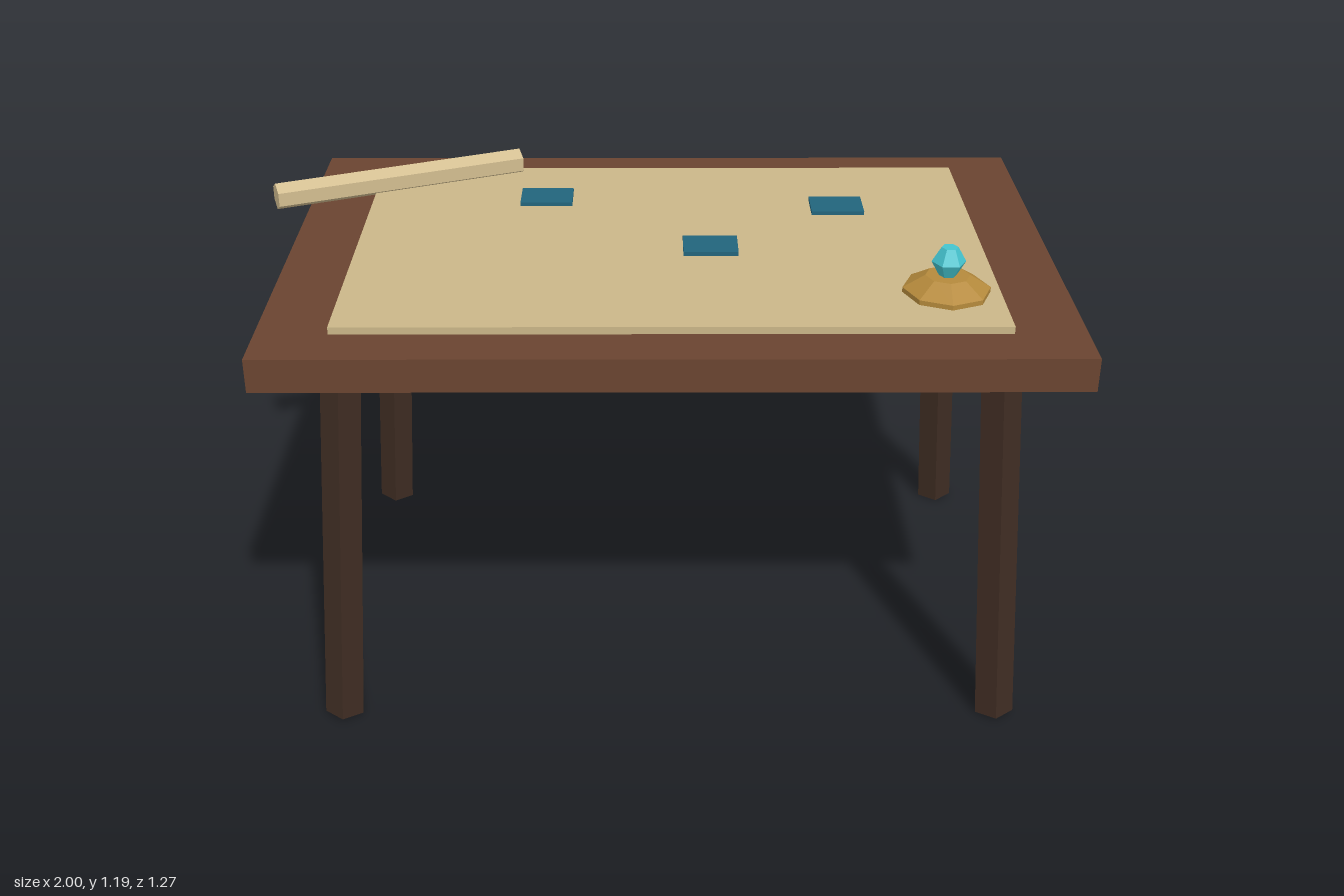
import * as THREE from 'three';

const mat = (name, color) => {
  const m = new THREE.MeshStandardMaterial({ color });
  m.name = name;
  m.flatShading = true;
  return m;
};

export function createModel() {
  const root = new THREE.Group();
  root.name = 'mapTable';
  const wood = mat('brown wood', 0x6a4430);
  const darkWood = mat('dark wood', 0x3e2c22);
  const parchment = mat('parchment', 0xcab688);
  const scrollPaper = mat('scroll paper', 0xd2bd90);
  const blue = mat('deep blue', 0x22647c);
  const brass = mat('brass', 0xb58a3c);
  const crystal = mat('turquoise crystal', 0x45c4cf);

  const add = (name, geometry, material, x, y, z) => {
    const mesh = new THREE.Mesh(geometry, material);
    mesh.name = name;
    mesh.position.set(x, y, z);
    root.add(mesh);
    return mesh;
  };
  const lathe = (points, sides) =>
    new THREE.LatheGeometry(points.map(([r, y]) => new THREE.Vector2(r, y)), sides);

  // Table top and the map lying on it
  const cx = 0.045;
  add('tableTop', new THREE.BoxGeometry(1.91, 0.083, 1.27), wood, cx, 1.0135, 0);
  add('map', new THREE.BoxGeometry(1.57, 0.02, 1.015), parchment, cx, 1.063, 0);

  // Four splayed five-sided legs
  const legGeometry = new THREE.CylinderGeometry(0.05, 0.05, 0.975, 5);
  for (const sx of [-1, 1]) {
    for (const sz of [-1, 1]) {
      const leg = add('leg', legGeometry, darkWood, cx + sx * 0.796, 0.491, sz * 0.506);
      leg.rotation.set(-sz * 0.055, 0, sx * 0.062);
    }
  }

  // Map tiles
  const tileGeometry = new THREE.BoxGeometry(0.137, 0.012, 0.107);
  for (const [x, z] of [[-0.277, -0.278], [0.488, -0.215], [0.148, 0.05]]) {
    add('mapTile', tileGeometry, blue, x, 1.077, z);
  }

  // Rolled scroll overhanging the corner, six-sided with an edge on top
  const rollGeometry = new THREE.CylinderGeometry(0.036, 0.036, 0.68, 6);
  rollGeometry.rotateX(-Math.PI / 2).rotateZ(Math.PI);
  rollGeometry.rotateY(Math.PI / 2);
  add('scroll', rollGeometry, scrollPaper, -0.677, 1.0975, -0.366).rotation.y = 0.4;

  // Brass stand with a faceted crystal
  add('brassStand', lathe([[0, 1.057], [0.105, 1.057], [0.105, 1.085], [0.053, 1.117], [0, 1.117]], 8),
    brass, 0.7, 0, 0.316);
  const gem = lathe([[0, 1.115], [0.02, 1.115], [0.041, 1.152], [0.02, 1.188], [0, 1.188]], 6);
  gem.rotateY(Math.PI / 2);
  add('crystal', gem, crystal, 0.7, 0, 0.316);

  return root;
}
